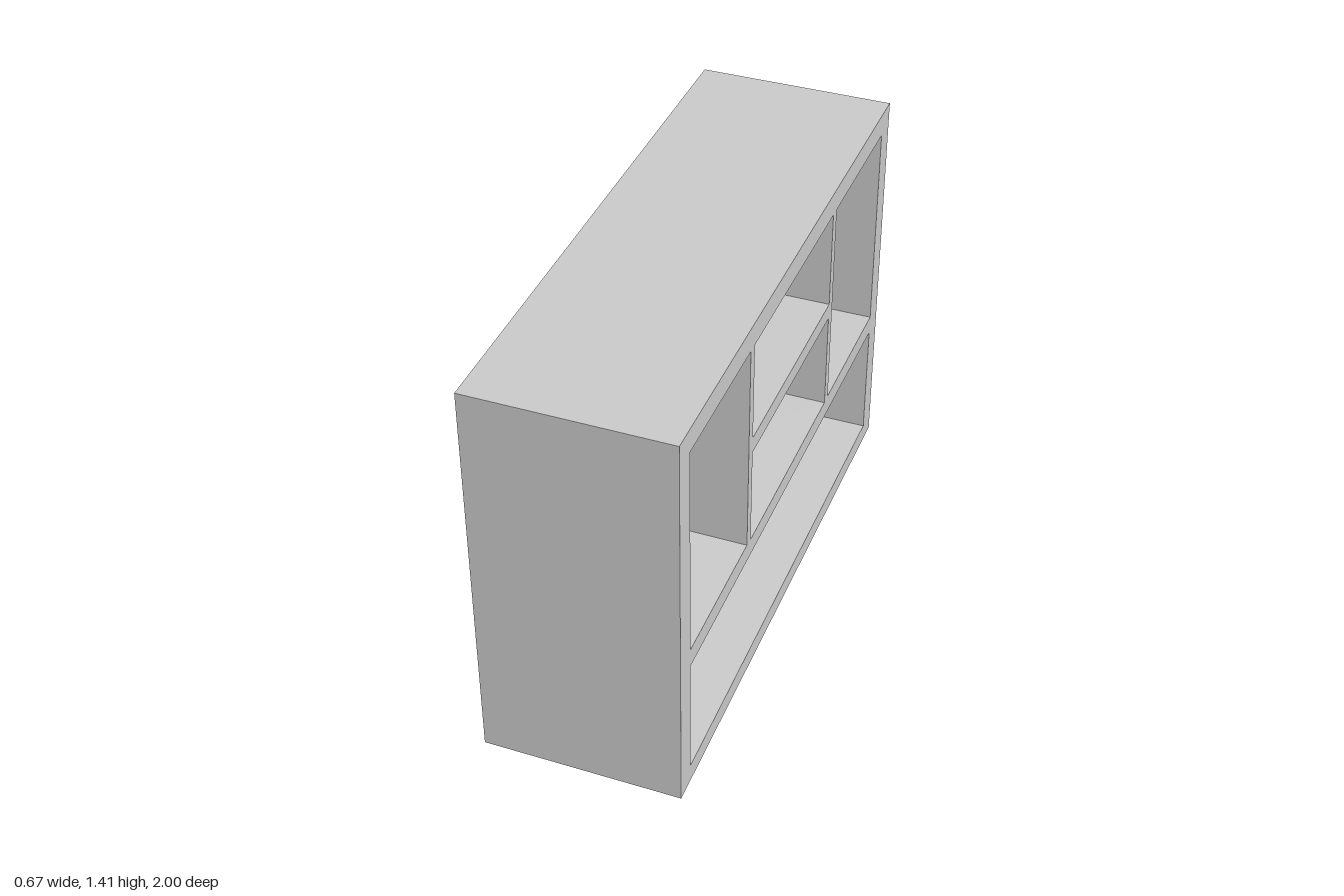
import * as THREE from 'three';

const HEIGHT = 1.406, DEPTH = 0.674;

// Closed rectangle outline from two opposite corners
function rect(path, u0, v0, u1, v1) {
  path.moveTo(u0, v0);
  path.lineTo(u1, v0);
  path.lineTo(u1, v1);
  path.lineTo(u0, v1);
  path.closePath();
  return path;
}

export function createModel() {
  const group = new THREE.Group();
  group.name = 'shelfUnit';

  // Compartments open on both sides: [u0, y0, u1, y1], u runs towards -z
  const openings = [
    [-0.918, 0.067, 0.918, 0.5],    // long bottom bay
    [-0.918, 0.568, -0.415, 1.325], // tall front bay
    [0.415, 0.568, 0.918, 1.325],   // tall back bay
    [-0.38, 0.564, 0.38, 0.918],    // lower middle bay
    [-0.38, 0.975, 0.38, 1.325],    // upper middle bay
  ];

  const outline = rect(new THREE.Shape(), -1, 0, 1, HEIGHT);
  for (const o of openings) outline.holes.push(rect(new THREE.Path(), ...o));

  // Carcass with dividers, extruded across the width
  const geometry = new THREE.ExtrudeGeometry(outline, { depth: DEPTH, bevelEnabled: false });
  geometry.translate(0, 0, -DEPTH / 2);
  geometry.rotateY(Math.PI / 2);

  const shelf = new THREE.Mesh(geometry, new THREE.MeshStandardMaterial({ color: 0xcccccc }));
  shelf.name = 'shelfFrame';
  group.add(shelf);
  return group;
}
